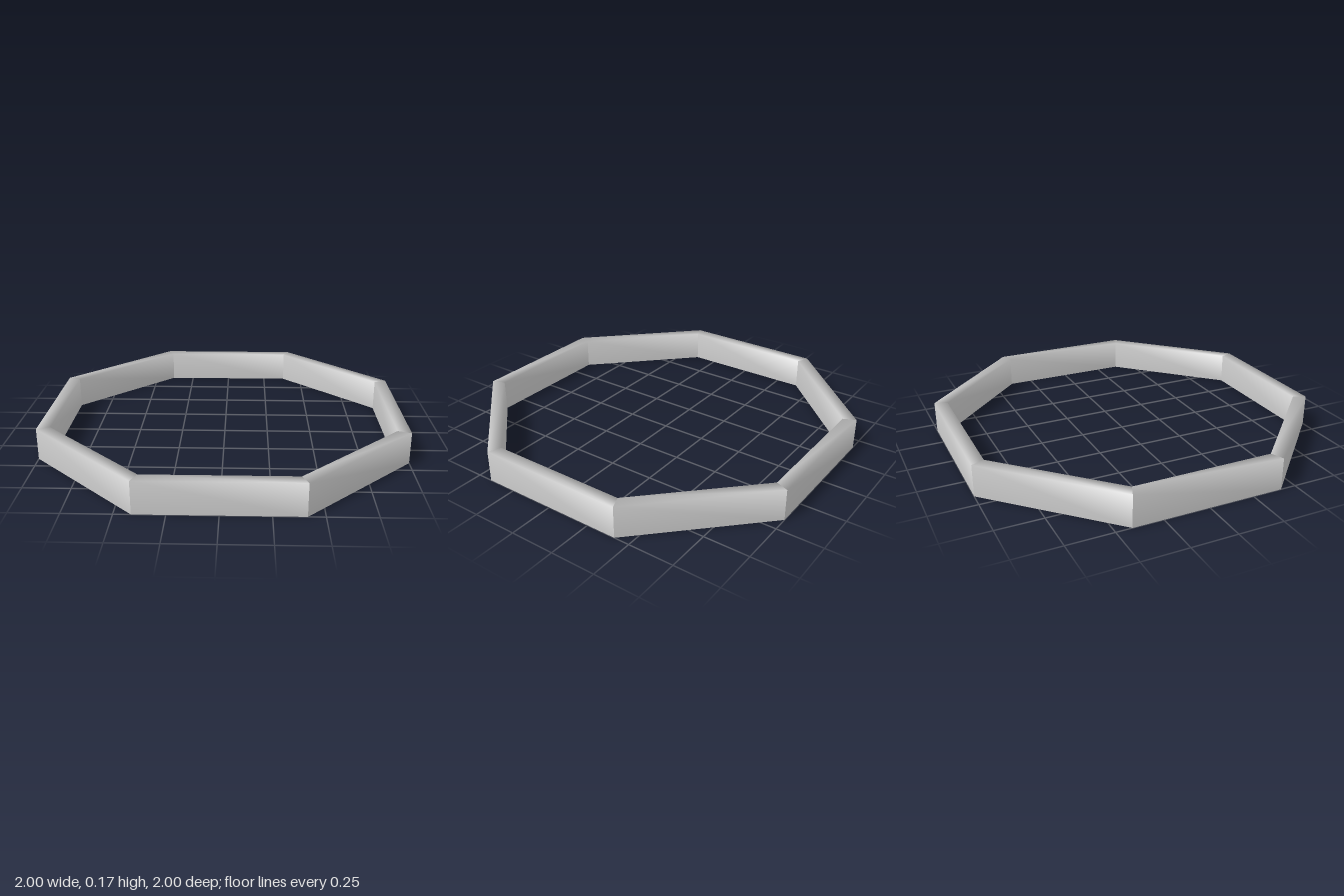
import * as THREE from 'three';

const SIDES = 8;
const HEIGHT = 0.175;
const STEP = (Math.PI * 2) / SIDES;
// corner radii from the distances to the flat sides
const OUTER = 1 / Math.cos(STEP / 2);
const INNER = 0.93 / Math.cos(STEP / 2);

// one straight side of the ring, swept from a profile of [radius, height] points
function sideGeometry(profile) {
  const points = profile.map(([r, y]) => new THREE.Vector2(r, y));
  const geometry = new THREE.LatheGeometry(points, 1, -STEP / 2, STEP);
  geometry.computeVertexNormals(); // soft over the rim, sharp between sides
  return geometry;
}

export function createModel() {
  const model = new THREE.Group();
  model.name = 'octagonalRing';
  const material = new THREE.MeshStandardMaterial({ color: 0xcccccc });

  // outer wall, top rim and inner wall
  const wall = sideGeometry([[OUTER, 0], [OUTER, HEIGHT], [INNER, HEIGHT], [INNER, 0]]);
  // flat underside
  const base = sideGeometry([[INNER, 0], [OUTER, 0]]);

  for (let i = 0; i < SIDES; i++) {
    const side = new THREE.Group();
    side.name = `ringSide${i + 1}`;
    side.rotation.y = i * STEP;
    for (const [name, geometry] of [['wall', wall], ['underside', base]]) {
      const mesh = new THREE.Mesh(geometry, material);
      mesh.name = name;
      side.add(mesh);
    }
    model.add(side);
  }
  return model;
}
